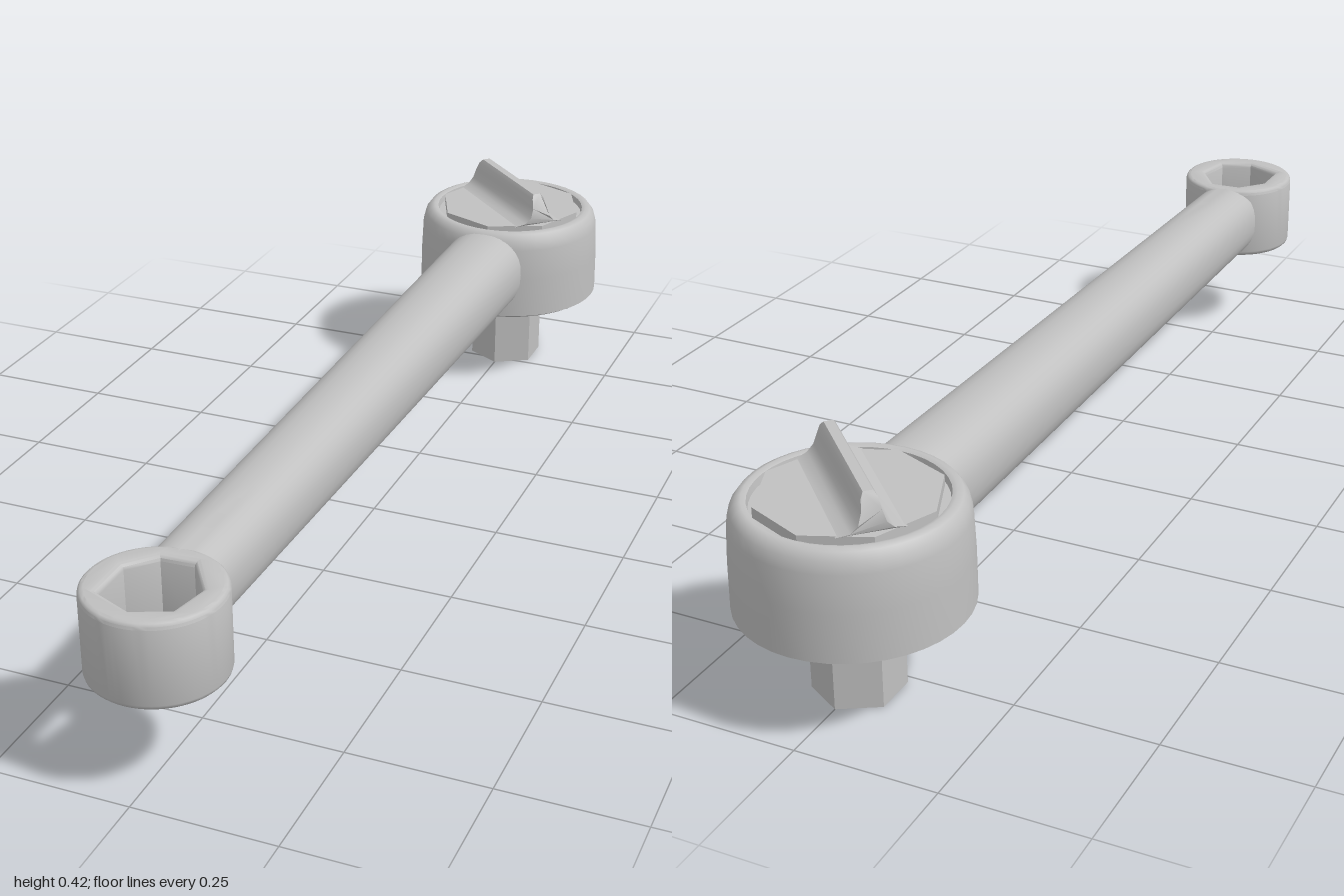
import * as THREE from 'three';
import { toCreasedNormals } from 'three/addons/utils/BufferGeometryUtils.js';

const HEAD_Z = -0.803, RING_Z = 0.884;

export function createModel() {
  const group = new THREE.Group();
  const steel = new THREE.MeshStandardMaterial({ color: 0xc0c0c0 });
  steel.name = 'steel';

  const add = (name, geometry, z = 0, crease = 0.6) => {
    const mesh = new THREE.Mesh(toCreasedNormals(geometry, crease), steel);
    mesh.name = name;
    mesh.position.z = z;
    group.add(mesh);
    return mesh;
  };

  // Apply a rule to every vertex of a geometry
  const reshape = (geometry, rule) => {
    const p = geometry.attributes.position, v = new THREE.Vector3();
    for (let i = 0; i < p.count; i++) {
      v.fromBufferAttribute(p, i);
      rule(v);
      p.setXYZ(i, v.x, v.y, v.z);
    }
    return geometry;
  };

  // Round head with a softened rim and a shallow seat for the dial
  const headProfile = [
    [0, 0.161], [0.186, 0.161], [0.194, 0.166], [0.193, 0.25], [0.19, 0.315],
    [0.185, 0.335], [0.176, 0.347], [0.166, 0.351], [0.158, 0.348], [0.156, 0.335], [0, 0.335],
  ].map(([x, y]) => new THREE.Vector2(x, y));
  add('ratchetHead', new THREE.LatheGeometry(headProfile, 40), HEAD_Z, 0.9);

  // Hexagonal drive post under the head
  const post = new THREE.CylinderGeometry(0.077, 0.077, 0.17, 6);
  post.translate(0, 0.085, 0);
  add('drivePost', post, HEAD_Z);

  // Eight-sided selector dial
  const dial = new THREE.CylinderGeometry(0.152, 0.152, 0.022, 8);
  dial.translate(0, 0.342, 0);
  add('selectorDial', dial, HEAD_Z);

  // Thumb fin: a flared section, shortened towards the top and rounded to the dial
  const half = [[0.055, 0], [0.034, 0.006], [0.022, 0.018], [0.016, 0.038], [0.013, 0.056], [0.008, 0.064]];
  const section = new THREE.Shape(
    [...half, ...half.map(([x, y]) => [-x, y]).reverse()].map(([x, y]) => new THREE.Vector2(x, y)));
  const fin = new THREE.ExtrudeGeometry(section, { depth: 2, bevelEnabled: false });
  fin.translate(0, 0, -1);
  reshape(fin, (v) => {
    const t = v.y / 0.064;
    v.z *= Math.sqrt(0.145 ** 2 - v.x ** 2) - 0.022 * t ** 3;
    v.y += 0.352;
  });
  add('selectorFin', fin, HEAD_Z).rotation.y = Math.PI / 4;

  // Handle: rounded section, a little wider and taller at the head
  const handle = new THREE.CylinderGeometry(1, 1, 1, 32, 12);
  handle.rotateX(Math.PI / 2);
  reshape(handle, (v) => {
    const t = v.z + 0.5;
    const soften = (c) => Math.sign(c) * Math.abs(c) ** 0.85;
    v.x = soften(v.x) * THREE.MathUtils.lerp(0.085, 0.069, t) - 0.009 * t;
    v.y = 0.259 + soften(v.y) * THREE.MathUtils.lerp(0.085, 0.074, t);
    v.z = THREE.MathUtils.lerp(-0.66, 0.788, t);
  });
  add('handle', handle, 0, 0.8);

  // Box ring with a faceted through hole and softened edges
  const bevel = 0.01;
  const outline = new THREE.Shape();
  outline.absarc(0, 0, 0.116 - bevel, 0, Math.PI * 2, false);
  const socket = [[-0.07, 0.03], [-0.03, 0.076], [0.03, 0.079], [0.075, 0.014],
    [0.06, -0.054], [0, -0.08], [-0.07, -0.05]];
  outline.holes.push(new THREE.Path(socket.map(([x, y]) => new THREE.Vector2(x, y).multiplyScalar(1.12))));
  const ring = new THREE.ExtrudeGeometry(outline, {
    depth: 0.152 - 2 * bevel, bevelThickness: bevel, bevelSize: bevel, bevelSegments: 3, curveSegments: 32,
  });
  ring.rotateX(-Math.PI / 2);
  ring.translate(0, 0.181 + bevel, 0);
  add('boxRing', ring, RING_Z);

  return group;
}
